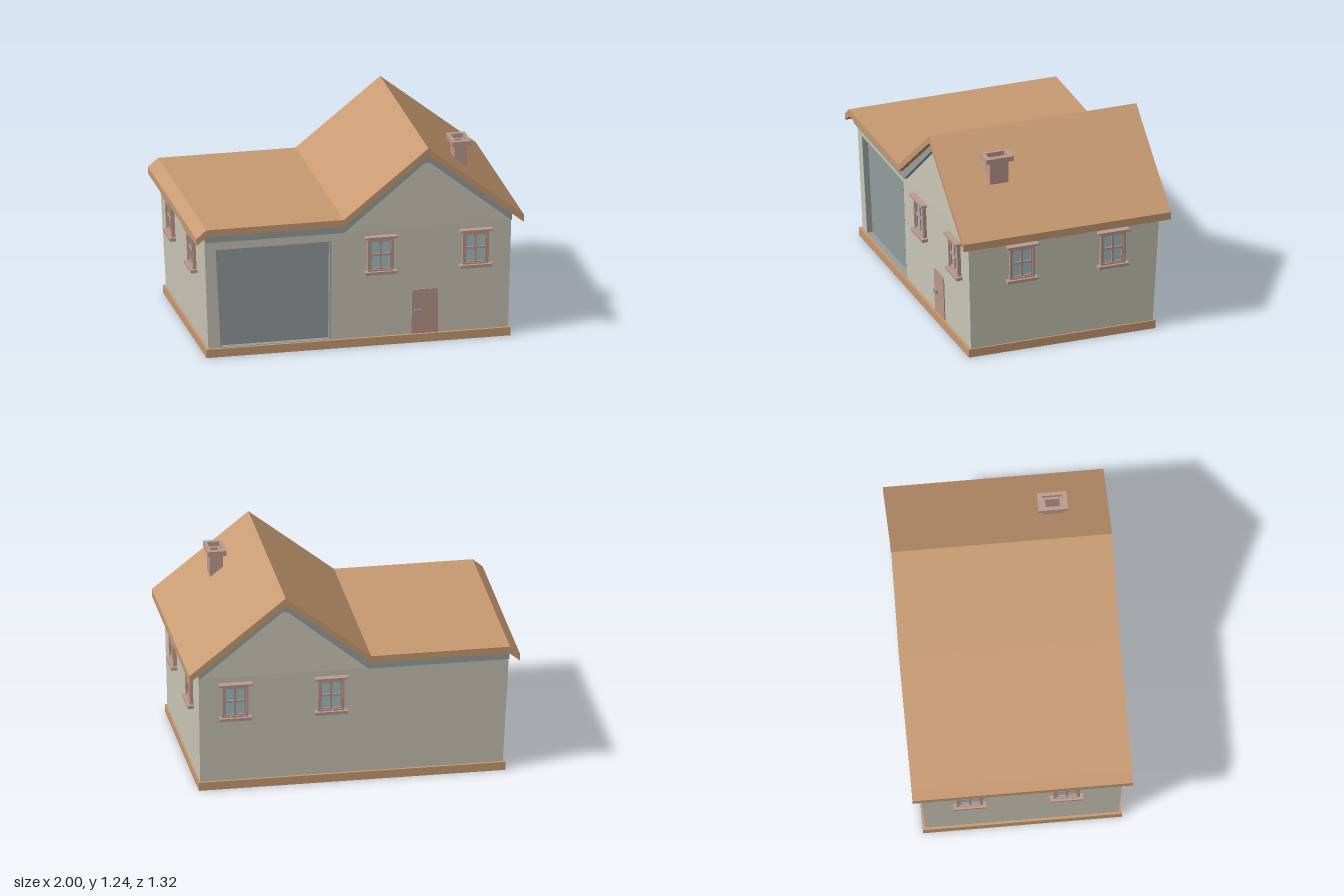
import * as THREE from 'three';

const material = (name, color) => Object.assign(new THREE.MeshStandardMaterial({ color }), { name });

export function createModel() {
  const house = new THREE.Group();
  house.name = 'house';
  const timber = material('tan timber', 0xc89b72);
  const plaster = material('cream plaster', 0xcdcaba);
  const trim = material('dusty pink trim', 0xbd9b8f);
  const slate = material('slate grey', 0x96a09f);
  const glass = material('pale blue glass', 0xa9c5ca);

  const add = (name, geometry, mat, parent = house) => {
    const mesh = new THREE.Mesh(geometry, mat);
    mesh.name = name;
    parent.add(mesh);
    return mesh;
  };
  const box = (name, [x0, x1], [y0, y1], [z0, z1], mat, parent) => {
    const g = new THREE.BoxGeometry(x1 - x0, y1 - y0, z1 - z0);
    return add(name, g.translate((x0 + x1) / 2, (y0 + y1) / 2, (z0 + z1) / 2), mat, parent);
  };
  const toPoints = (list) => list.map(([x, y]) => new THREE.Vector2(x, y));
  const rect = (x0, x1, y0, y1) => [[x0, y0], [x1, y0], [x1, y1], [x0, y1]];
  // Extrude an outline between two depths, with optional holes
  const prism = (outline, z0, z1, holes = []) => {
    const shape = new THREE.Shape(toPoints(outline));
    holes.forEach((h) => shape.holes.push(new THREE.Path(toPoints(h))));
    return new THREE.ExtrudeGeometry(shape, { depth: z1 - z0, bevelEnabled: false }).translate(0, 0, z0);
  };
  // Walls lean inward toward the ground at the front and back
  const EAVE = 0.735;
  const lean = (geometry) => {
    const p = geometry.attributes.position;
    for (let i = 0; i < p.count; i++) {
      const t = Math.max(0, (EAVE - p.getY(i)) / 0.685);
      const z = p.getZ(i);
      p.setZ(i, z > 0 ? z - 0.022 * t : z + 0.035 * t);
    }
    geometry.computeVertexNormals();
    return geometry;
  };

  // Foundation
  box('foundation', [-0.925, 0.93], [0, 0.052], [-0.59, 0.6], timber);

  // Walls, with a garage opening cut into the front layer
  const wall = [[-0.91, 0.05], [0.92, 0.05], [0.935, EAVE], [-0.94, EAVE]];
  const opening = [[-0.835, 0.053], [-0.165, 0.053], [-0.165, 0.68], [-0.87, 0.68]];
  add('walls', lean(prism(wall, -0.61, 0.565)), plaster);
  add('frontWall', lean(prism(wall, 0.565, 0.605, [opening])), plaster);
  const gable = [[-0.94, EAVE], [0.935, EAVE], [0.935, 0.76], [0.417, 1.18], [-0.1, 0.77], [-0.94, 0.77]];
  add('gableWall', prism(gable, -0.61, 0.605), plaster);

  // Garage door and its lining
  add('garageDoor', lean(prism(opening, 0.564, 0.571)), slate);
  const lining = [[-0.828, 0.055], [-0.171, 0.055], [-0.171, 0.674], [-0.863, 0.674]];
  add('garageLining', lean(prism(opening, 0.566, 0.6055, [lining])), slate);

  // Roof slab and the fascia band under it
  const roof = [[-1, 0.735], [-0.935, 0.787], [-0.1, 0.787], [0.417, 1.197], [1, 0.733],
    [1, 0.78], [0.417, 1.243], [-0.1, 0.83], [-0.94, 0.83], [-1, 0.778]];
  add('roof', prism(roof, -0.66, 0.66), timber);
  const band = [[-0.94, 0.737], [-0.09, 0.737], [0.4, 1.14], [0.434, 1.14], [0.935, 0.737],
    [0.935, 0.785], [0.417, 1.197], [-0.1, 0.787], [-0.94, 0.787]];
  add('fascia', prism(band, -0.63, 0.63), slate);

  // Front door with clipped top corners, and its handle
  const doorOutline = [[0.33, 0.053], [0.49, 0.053], [0.49, 0.322], [0.478, 0.334], [0.342, 0.334], [0.33, 0.322]];
  add('frontDoor', lean(prism(doorOutline, 0.6, 0.611)), trim);
  box('doorHandle', [0.343, 0.387], [0.184, 0.206], [0.585, 0.607], slate);

  // Window: frame, four-light sash, glass, sill and header, facing local +z
  const buildWindow = () => {
    const group = new THREE.Group();
    const inner = rect(-0.066, 0.066, -0.092, 0.092);
    add('frame', prism(rect(-0.079, 0.079, -0.105, 0.11), -0.005, 0.022, [inner]), trim, group);
    const panes = [];
    for (const sx of [-1, 1]) for (const sy of [-1, 1]) {
      const cx = sx * 0.0315, cy = sy * 0.0455;
      // Octagonal pane openings with softened corners
      panes.push([[-0.025, -0.034], [-0.02, -0.039], [0.02, -0.039], [0.025, -0.034],
        [0.025, 0.034], [0.02, 0.039], [-0.02, 0.039], [-0.025, 0.034]].map(([x, y]) => [x + cx, y + cy]));
    }
    add('sash', prism(inner, -0.005, 0.014, panes), trim, group);
    box('glass', [-0.064, 0.064], [-0.09, 0.09], [-0.003, 0.005], glass, group);
    box('sill', [-0.098, 0.098], [-0.12, -0.101], [-0.005, 0.038], trim, group);
    box('header', [-0.1, 0.1], [0.108, 0.121], [-0.005, 0.039], trim, group);
    return group;
  };
  const placeWindow = (name, x, z, turn, tilt) => {
    const w = buildWindow();
    w.name = name;
    w.position.set(x, 0.577, z);
    w.rotation.set(tilt, turn, 0, 'YXZ');
    house.add(w);
  };
  for (const x of [0.135, 0.715]) {
    placeWindow('frontWindow', x, 0.6, 0, 0.032);
    placeWindow('backWindow', x, -0.602, Math.PI, 0.051);
  }
  for (const z of [0.267, -0.312]) {
    placeWindow('leftWindow', 0.931, z, Math.PI / 2, 0.022);
    placeWindow('rightWindow', -0.933, z, -Math.PI / 2, 0.044);
  }

  // Hollow chimney: shaft and wider cap
  const chimney = new THREE.Group();
  chimney.name = 'chimney';
  chimney.position.set(0.677, 0, 0.326);
  house.add(chimney);
  const tube = (name, w, d, hw, hd, y0, y1) => {
    const g = prism(rect(-w, w, -d, d), y0, y1, [rect(-hw, hw, -hd, hd)]);
    add(name, g.rotateX(-Math.PI / 2), trim, chimney);
  };
  tube('chimneyShaft', 0.038, 0.059, 0.023, 0.043, 0.94, 1.152);
  tube('chimneyCap', 0.057, 0.088, 0.036, 0.06, 1.15, 1.18);

  return house;
}
